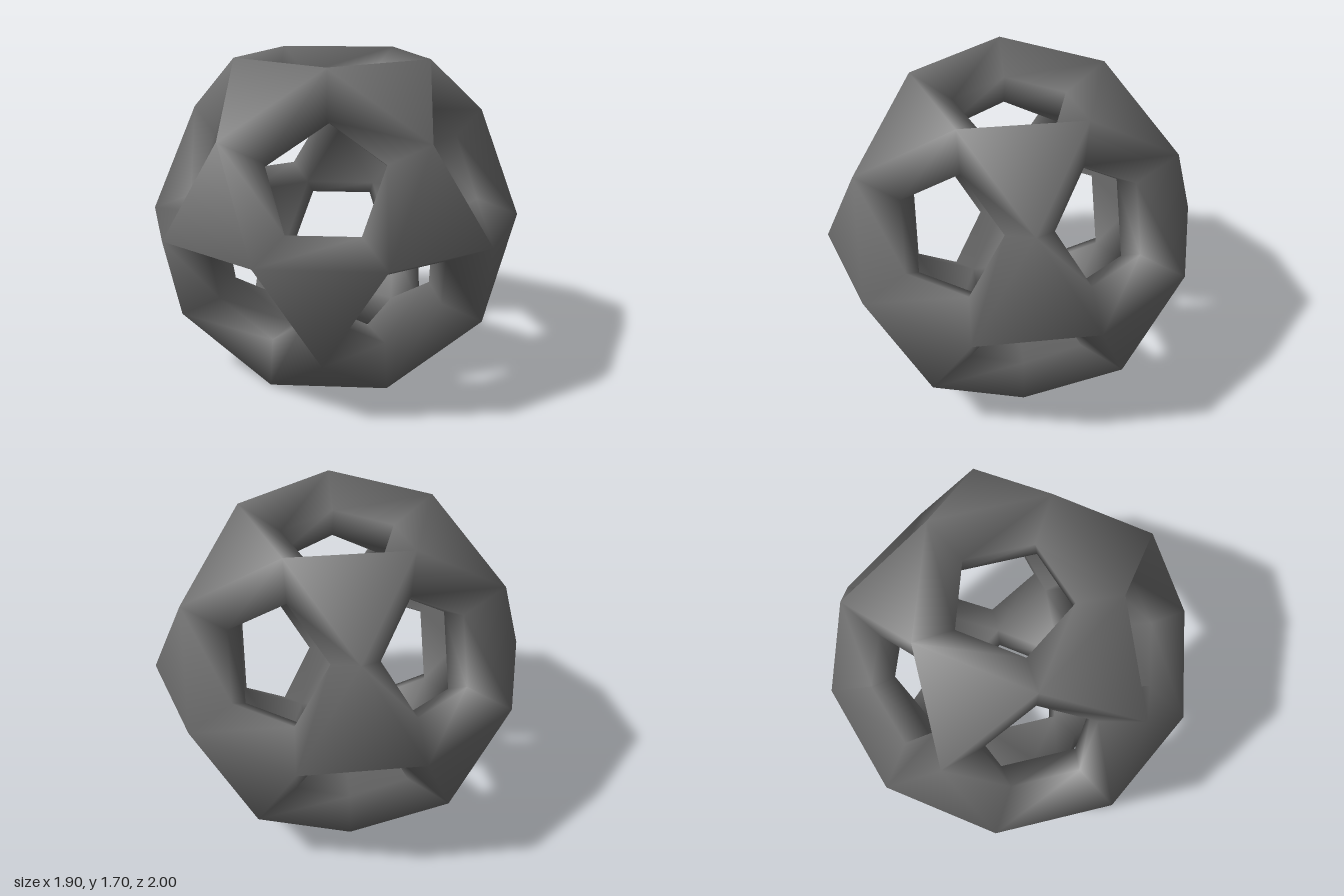
import * as THREE from 'three';

// Hollow ball: twenty triangular plates joined around twelve flared pentagonal openings
const INNER_SCALE = 0.65;               // size of the hollow inside
const RIM_RADIUS = 0.307, RIM_DEPTH = 0.72; // narrowest ring of each opening
const HEIGHT = 0.8507;                  // centre to top opening

export function createModel() {
  const grey = new THREE.MeshStandardMaterial({ color: 0x6e6e6e });
  grey.name = 'grey';

  // Axes of the twelve openings: top, bottom and two staggered rings of five
  const axes = [new THREE.Vector3(0, 1, 0), new THREE.Vector3(0, -1, 0)];
  const up = 1 / Math.sqrt(5), out = 2 / Math.sqrt(5);
  for (let i = 0; i < 5; i++) {
    for (const side of [1, -1]) {
      const a = (i * 2 + (side > 0 ? 0 : 1)) * Math.PI / 5;
      axes.push(new THREE.Vector3(out * Math.cos(a), side * up, out * Math.sin(a)));
    }
  }
  const adjacent = (i, j) => i !== j && axes[i].dot(axes[j]) > 0.4;

  const positions = [], indices = [];
  const addPoint = (v) => positions.push(v.x, v.y + HEIGHT, v.z) / 3 - 1;

  // Corner points lie halfway between neighbouring openings, outside and inside
  const corners = new Map();
  const corner = (i, j) => corners.get(Math.min(i, j) + '-' + Math.max(i, j));
  for (let i = 0; i < 12; i++) {
    for (let j = i + 1; j < 12; j++) {
      if (!adjacent(i, j)) continue;
      const v = axes[i].clone().add(axes[j]).normalize();
      corners.set(i + '-' + j, {
        v, outer: addPoint(v), inner: addPoint(v.clone().multiplyScalar(INNER_SCALE)),
      });
    }
  }

  // Triangular plates, outer and inner face
  for (let i = 0; i < 12; i++) {
    for (let j = i + 1; j < 12; j++) {
      for (let k = j + 1; k < 12; k++) {
        if (!adjacent(i, j) || !adjacent(j, k) || !adjacent(i, k)) continue;
        const t = [corner(i, j), corner(j, k), corner(k, i)];
        if (t[0].v.dot(t[1].v.clone().cross(t[2].v)) < 0) t.reverse();
        indices.push(t[0].outer, t[1].outer, t[2].outer);
        indices.push(t[2].inner, t[1].inner, t[0].inner);
      }
    }
  }

  // Flared openings: outer edge to rim, rim to inner edge
  axes.forEach((n, i) => {
    const ring = axes.map((_, j) => j).filter((j) => adjacent(i, j)).map((j) => corner(i, j));
    const radial = (c) => c.v.clone().addScaledVector(n, -c.v.dot(n)).normalize();
    const u = radial(ring[0]), w = n.clone().cross(u);
    const angle = (c) => Math.atan2(c.v.dot(w), c.v.dot(u));
    ring.sort((a, b) => angle(a) - angle(b));
    const rim = ring.map((c) =>
      addPoint(radial(c).multiplyScalar(RIM_RADIUS).addScaledVector(n, RIM_DEPTH)));
    const loops = [ring.map((c) => c.outer), rim, ring.map((c) => c.inner)];
    for (let l = 0; l < 2; l++) {
      for (let a = 0; a < 5; a++) {
        const b = (a + 1) % 5, p = loops[l], q = loops[l + 1];
        indices.push(p[a], p[b], q[b], p[a], q[b], q[a]);
      }
    }
  });

  const geometry = new THREE.BufferGeometry();
  geometry.setAttribute('position', new THREE.Float32BufferAttribute(positions, 3));
  geometry.setIndex(indices);
  geometry.computeVertexNormals();

  const shell = new THREE.Mesh(geometry, grey);
  shell.name = 'latticeShell';
  const group = new THREE.Group();
  group.name = 'hollowLatticeBall';
  group.add(shell);
  return group;
}
